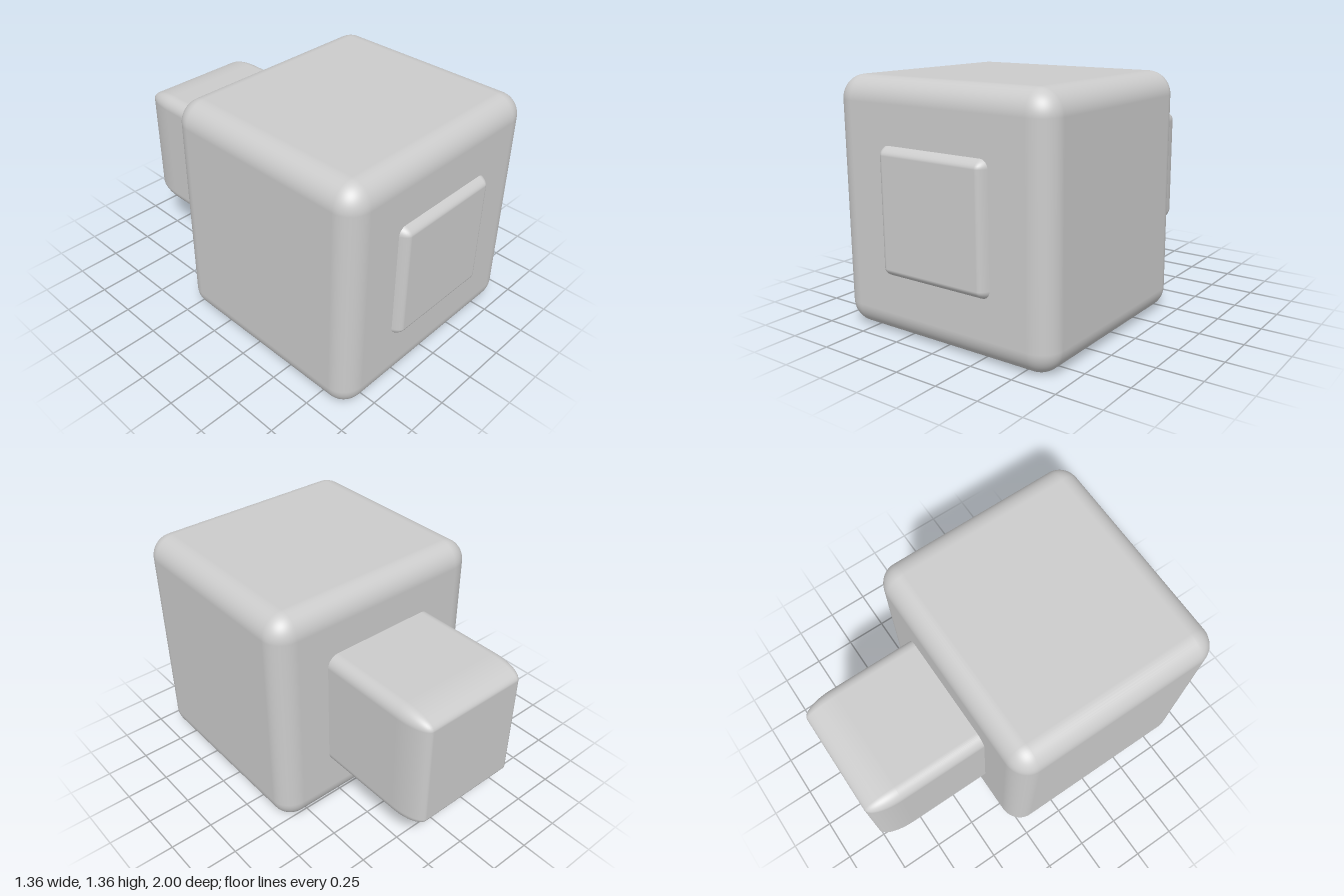
import * as THREE from 'three';
import { RoundedBoxGeometry } from 'three/addons/geometries/RoundedBoxGeometry.js';

const material = new THREE.MeshStandardMaterial({ color: 0xcccccc });

// A rounded cube stretched to size, so its edge rounding stretches along with it
function stretchedBlock(name, width, height, depth, y, z) {
  const geometry = new RoundedBoxGeometry(2, 2, 2, 8, 0.19);
  geometry.scale(width / 2, height / 2, depth / 2);
  const mesh = new THREE.Mesh(geometry, material);
  mesh.name = name;
  mesh.position.set(0, y, z);
  return mesh;
}

export function createModel() {
  const model = new THREE.Group();
  model.name = 'blockWithBar';

  // Large head block
  model.add(stretchedBlock('headBlock', 1.364, 1.364, 1.255, 0.682, 0.327));

  // Bar running through the head, just proud of its front and long at the back
  model.add(stretchedBlock('throughBar', 0.73, 0.73, 2, 0.685, 0));

  return model;
}
